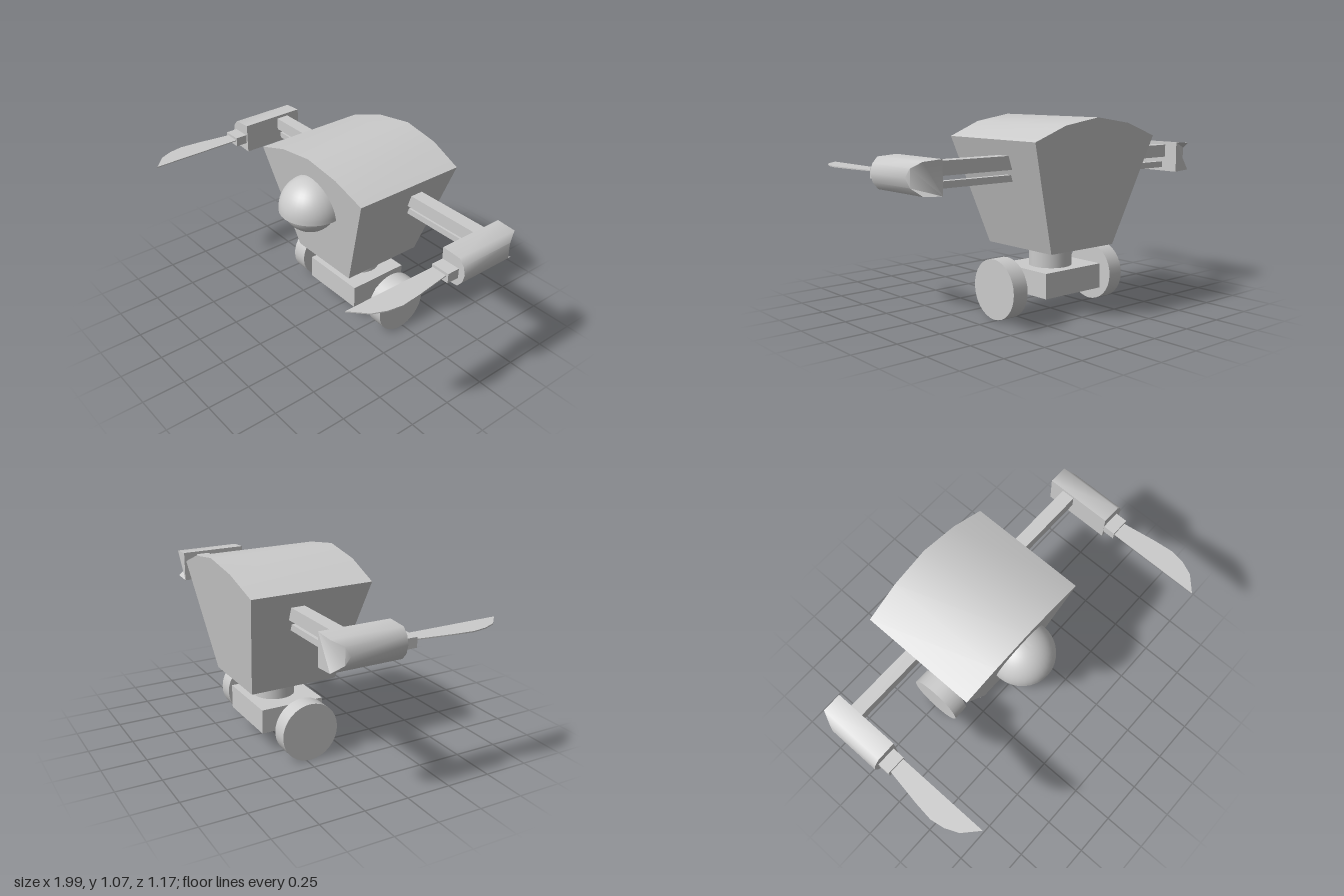
import * as THREE from 'three';
import { toCreasedNormals } from 'three/addons/utils/BufferGeometryUtils.js';

export function createModel() {
  const model = new THREE.Group();
  const grey = new THREE.MeshStandardMaterial({ color: 0xcccccc });

  const add = (name, geometry, x = 0, y = 0, z = 0) => {
    const mesh = new THREE.Mesh(geometry, grey);
    mesh.name = name;
    mesh.position.set(x, y, z);
    model.add(mesh);
    return mesh;
  };

  // Box given by its limits on each axis
  const box = (name, x0, x1, y0, y1, z0, z1) =>
    add(name, new THREE.BoxGeometry(Math.abs(x1 - x0), y1 - y0, z1 - z0),
      (x0 + x1) / 2, (y0 + y1) / 2, (z0 + z1) / 2);

  // Outline extruded along z; each vertex may then be moved by a rule
  const extrude = (points, depth, rule) => {
    const shape = new THREE.Shape(points.map(([x, y]) => new THREE.Vector2(x, y)));
    const geometry = new THREE.ExtrudeGeometry(shape, { depth, bevelEnabled: false });
    const p = geometry.attributes.position;
    if (rule) for (let i = 0; i < p.count; i++) p.setZ(i, rule(p.getX(i), p.getY(i), p.getZ(i)));
    return toCreasedNormals(geometry, 0.8);
  };

  // Body: arched top, narrowing downwards on all four sides
  const bodyOutline = [
    [-0.243, 0.365], [0.211, 0.365], [0.404, 0.955], [0.211, 1.03],
    [-0.01, 1.065], [-0.243, 1.03], [-0.457, 0.955],
  ];
  add('body', extrude(bodyOutline, 1, (x, y, z) =>
    -0.231 + (z > 0.5 ? 1 : -1) * (0.252 + 0.154 * (y - 0.365))));

  // Eye with a half-dome lid, closed underneath
  add('eye', new THREE.SphereGeometry(0.155, 32, 20), -0.016, 0.783, 0.114);
  const lid = [new THREE.Vector2(0, -0.012)];
  for (let i = 0; i <= 14; i++) {
    const a = -0.065 + (i / 14) * (Math.PI / 2 + 0.065);
    lid.push(new THREE.Vector2(Math.max(0, 0.185 * Math.cos(a)), 0.185 * Math.sin(a)));
  }
  add('eyelid', toCreasedNormals(new THREE.LatheGeometry(lid, 32), 0.8), -0.016, 0.762, 0.102);

  // Neck, axle block and axle
  add('neck', new THREE.CylinderGeometry(0.118, 0.118, 0.13, 32), -0.006, 0.305, -0.241);
  box('axleBlock', -0.219, 0.184, 0.112, 0.249, -0.414, -0.046);
  add('axle', new THREE.CylinderGeometry(0.0225, 0.0225, 0.66, 20), -0.018, 0.157, -0.228)
    .rotation.z = Math.PI / 2;

  // Hand: flat inside, rounded outside
  const handOutline = [
    [0.845, 0.717], [0.955, 0.724], [0.985, 0.76], [0.997, 0.806],
    [0.985, 0.851], [0.955, 0.884], [0.845, 0.891],
  ];
  // Blade seen from above, as x and z
  const bladeOutline = [
    [0.858, 0.03], [0.947, 0.03], [0.978, 0.24], [0.989, 0.35],
    [0.975, 0.43], [0.942, 0.505], [0.858, 0.583],
  ];

  for (const [s, side] of [[1, 'left'], [-1, 'right']]) {
    add(side + 'Wheel', new THREE.CylinderGeometry(0.1625, 0.1625, 0.094, 32),
      -0.0175 + s * 0.3555, 0.1625, -0.228).rotation.z = Math.PI / 2;

    // Arm bars
    box(side + 'UpperArmBar', s * 0.28, s * 0.85, 0.802, 0.874, -0.342, -0.265);
    box(side + 'LowerArmBar', s * 0.28, s * 0.85, 0.738, 0.773, -0.321, -0.286);

    // The rounded part is cut off at a slant towards the back
    add(side + 'Hand', extrude(handOutline.map(([x, y]) => [s * x, y]), 0.39, (x, y, z) =>
      z > 0.1 ? -0.035 : -0.425 + 2 * Math.max(0, Math.abs(x) - 0.955)), -0.002);

    // Blade and its socket
    box(side + 'BladeSocket', -0.0075 + s * 0.852, -0.0075 + s * 0.962, 0.771, 0.825, -0.06, 0.036);
    const blade = extrude(bladeOutline.map(([x, z]) => [s * x, -z]), 0.006);
    add(side + 'Blade', blade, -0.0075, 0.804, 0).rotation.x = -Math.PI / 2;
  }
  return model;
}
